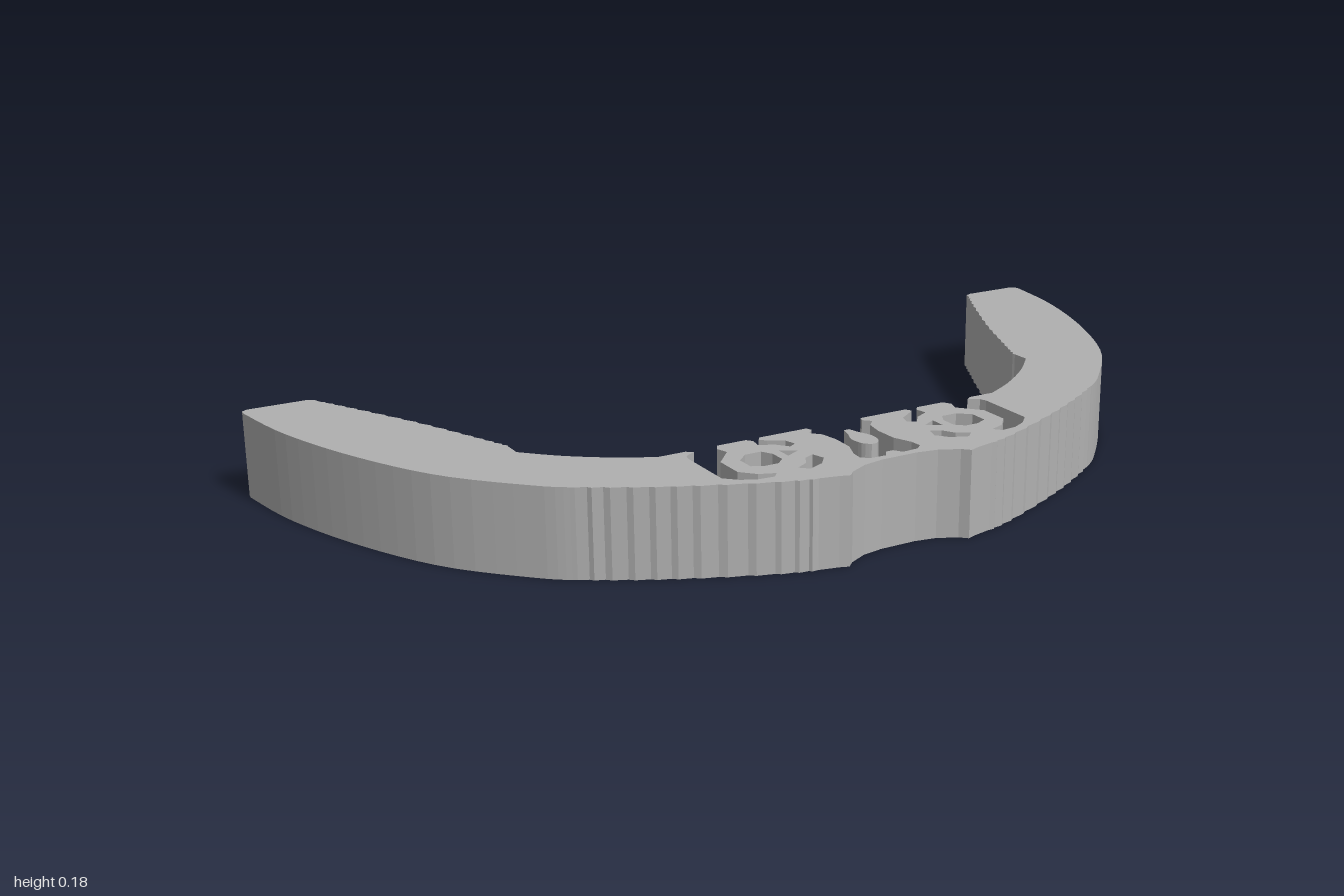
import * as THREE from 'three';

const HEIGHT = 0.184;
const grey = new THREE.MeshStandardMaterial({ color: 0xb0b0b0 });
grey.name = 'plain grey';

const vec = ([x, z]) => new THREE.Vector2(x, z);

// Smooth curve through a few plan points
function smooth(points, n) {
  return new THREE.SplineCurve(points.map(vec)).getPoints(n).map(p => [p.x, p.y]);
}

// Fine stair-stepped edge following a curve
function stepped(points, n, depth) {
  const out = [];
  const pts = smooth(points, n);
  pts.forEach(([x, z], i) => {
    out.push([x, z]);
    if (i < n) {
      const [u, v] = pts[i + 1];
      const len = Math.hypot(u - x, v - z);
      out.push([x + (u - x) * 0.7 - (v - z) / len * depth, z + (v - z) * 0.7 + (u - x) / len * depth]);
    }
  });
  return out;
}

const mirror = pts => pts.map(([x, z]) => [-x, z]).reverse();

// Upright slab from a plan outline (x, z) with cut-outs
function slab(name, outline, holes = []) {
  const toShape = p => p.map(([x, z]) => new THREE.Vector2(x, -z));
  const shape = new THREE.Shape(toShape(outline));
  holes.forEach(h => shape.holes.push(new THREE.Path(toShape(h))));
  const geo = new THREE.ExtrudeGeometry(shape, { depth: HEIGHT, bevelEnabled: false });
  geo.rotateX(-Math.PI / 2);
  const mesh = new THREE.Mesh(geo, grey);
  mesh.name = name;
  return mesh;
}

export function createModel() {
  const group = new THREE.Group();
  group.name = 'curvedBand';

  // Front edge: shallow dip between two bumps, stepped curve, smooth arm
  const front = [
    [0.04, 0.447], [0.085, 0.455], [0.125, 0.475], [0.14, 0.49], [0.16, 0.483],
    ...stepped([[0.2, 0.474], [0.27, 0.452], [0.4, 0.396], [0.5, 0.346], [0.59, 0.293]], 11, 0.004),
    ...smooth([[0.61, 0.283], [0.67, 0.235], [0.8, 0.09], [0.9, -0.1], [0.97, -0.3], [1.0, -0.47]], 24),
  ];
  // Arm tip
  const tip = [[0.998, -0.483], [0.985, -0.49], [0.86, -0.49], [0.845, -0.483]];
  // Inner edge: stepped straight run, then smooth curve to the middle
  const inner = [
    ...stepped([[0.84, -0.465], [0.79, -0.37], [0.715, -0.22], [0.655, -0.08], [0.62, 0.005]], 16, 0.004),
    ...smooth([[0.62, 0.045], [0.555, 0.11], [0.475, 0.17], [0.4, 0.212]], 10),
  ];
  // Curved channel beside the block
  const channel = [
    [0.34, 0.212], [0.327, 0.222], [0.35, 0.235], [0.355, 0.25], [0.355, 0.38], [0.33, 0.405],
    [0.3, 0.42], [0.265, 0.423], [0.252, 0.408], [0.285, 0.395], [0.312, 0.365], [0.312, 0.3],
    [0.272, 0.255], [0.28, 0.23], [0.27, 0.212],
  ];
  // Block back face with a slit leading to a slanted pocket
  const block = [
    [0.205, 0.212], [0.195, 0.225], [0.2, 0.25], [0.17, 0.265], [0.15, 0.29], [0.133, 0.28],
    [0.14, 0.255], [0.17, 0.235], [0.183, 0.225], [0.175, 0.212], [0.065, 0.212],
  ];
  // Middle gap wall
  const gap = [
    [0.06, 0.225], [0.075, 0.24], [0.057, 0.26], [0.05, 0.3], [0.052, 0.35], [0.068, 0.39],
    [0.07, 0.415], [0.055, 0.428], [0.02, 0.43], [0.008, 0.412],
  ];
  const half = [...front, ...tip, ...inner, ...channel, ...block, ...gap];

  // Cut-outs in each block: six-sided hole, wedge and slanted slot
  const cutouts = [
    [[0.215, 0.287], [0.25, 0.287], [0.275, 0.31], [0.275, 0.35], [0.25, 0.362], [0.22, 0.362], [0.202, 0.345], [0.202, 0.31]],
    [[0.182, 0.3], [0.182, 0.335], [0.15, 0.318]],
    [[0.16, 0.362], [0.138, 0.352], [0.13, 0.38], [0.15, 0.405], [0.185, 0.42], [0.202, 0.403], [0.175, 0.388]],
  ];
  const holes = [...cutouts, ...cutouts.map(mirror)];
  group.add(slab('band', [...half, ...mirror(half)], holes));

  // Free-standing drop-shaped pin in the middle gap
  const drop = smooth([[0.006, 0.26], [0.013, 0.285], [0.024, 0.315], [0.02, 0.345], [0.006, 0.36]], 12);
  group.add(slab('middlePin', [...drop, ...mirror(drop)]));

  return group;
}
